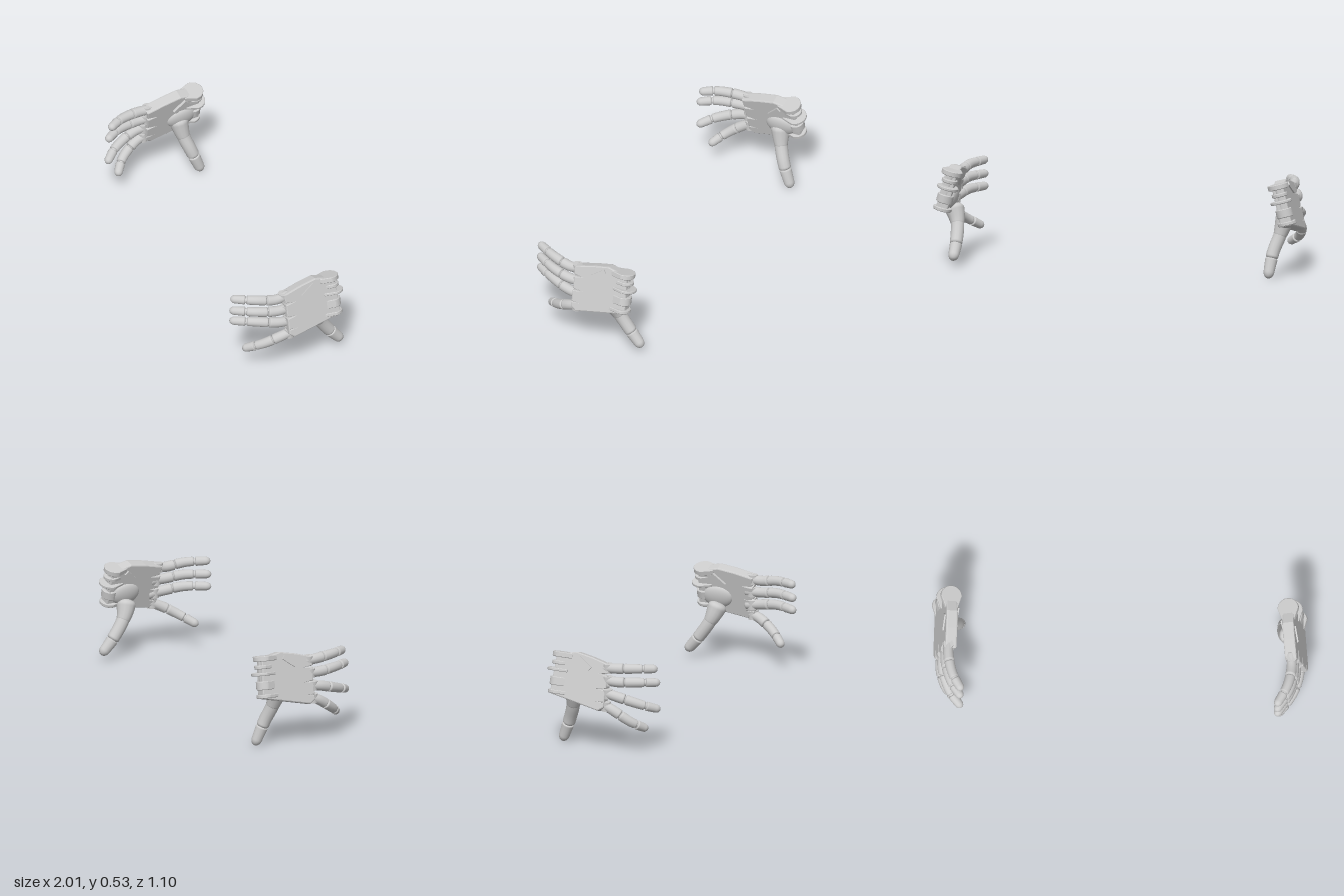
import * as THREE from 'three';
import { mergeVertices } from 'three/addons/utils/BufferGeometryUtils.js';

const mat = new THREE.MeshStandardMaterial({ color: 0xcccccc, roughness: 0.7 });

function add(parent, name, geo, x = 0, y = 0, z = 0) {
  const m = new THREE.Mesh(geo, mat);
  m.name = name;
  m.position.set(x, y, z);
  parent.add(m);
  return m;
}

// Rounded, tapering tube along the stretch t0..t1 of a curve
function limb(curve, t0, t1, r0, r1, capA, capB) {
  const pts = [];
  for (let i = 0; i <= 8; i++) pts.push(curve.getPointAt(t0 + (t1 - t0) * i / 8));
  const path = new THREE.CatmullRomCurve3(pts);
  const n = 32, sides = 14;
  const geo = new THREE.TubeGeometry(path, n, 1, sides);
  const p = geo.attributes.position, v = new THREE.Vector3();
  const cap = (d, e) => (d >= e ? 1 : Math.sqrt(Math.max(0, 1 - (1 - d / e) ** 2)));
  for (let i = 0; i <= n; i++) {
    const t = i / n, c = path.getPointAt(t);
    const r = (r0 + (r1 - r0) * t) * cap(t, capA) * cap(1 - t, capB);
    for (let j = 0; j <= sides; j++) {
      const k = i * (sides + 1) + j;
      v.fromBufferAttribute(p, k).sub(c).multiplyScalar(r).add(c);
      p.setXYZ(k, v.x, v.y, v.z);
    }
  }
  geo.deleteAttribute('uv');
  geo.deleteAttribute('normal');
  const smooth = mergeVertices(geo, 1e-5);
  smooth.computeVertexNormals();
  return smooth;
}

const curveOf = (pts, s) => new THREE.CatmullRomCurve3(
  pts.map(([x, y, z]) => new THREE.Vector3(x * s, y, z)));

// Finger: three shells with narrow gaps over a thinner core, and a root hinge
function finger(parent, name, pts, s) {
  const g = new THREE.Group();
  g.name = name;
  const c = curveOf(pts, s);
  add(g, 'fingerCore', limb(c, 0.02, 0.95, 0.022, 0.017, 0.05, 0.1));
  add(g, 'proximalSegment', limb(c, 0, 0.42, 0.026, 0.029, 0.08, 0.07));
  add(g, 'middleSegment', limb(c, 0.41, 0.74, 0.028, 0.025, 0.09, 0.06));
  add(g, 'fingertip', limb(c, 0.75, 1.03 > 1 ? 1 : 1.03, 0.026, 0.022, 0.08, 0.32));
  const h = c.getPointAt(0.12);
  add(g, 'rootHinge', new THREE.CylinderGeometry(0.027, 0.027, 0.05, 16), h.x, h.y, h.z);
  parent.add(g);
}

// Thumb: flared root, slim shaft, separate rounded tip
function thumb(parent, pts, s) {
  const g = new THREE.Group();
  g.name = 'thumb';
  const c = curveOf(pts, s);
  add(g, 'thumbRoot', limb(c, 0, 0.38, 0.06, 0.034, 0.3, 0.12));
  add(g, 'thumbShaft', limb(c, 0.2, 0.72, 0.037, 0.034, 0.1, 0.1));
  add(g, 'thumbTip', limb(c, 0.69, 1, 0.034, 0.027, 0.08, 0.3));
  parent.add(g);
}

// Notched palm plate outline: x runs to the fingers, y to the index side
const OUTLINE = [
  [-0.02, -0.115], [0.26, -0.168], [0.285, -0.15], [0.285, -0.13], [0.235, -0.125],
  [0.285, -0.12], [0.285, -0.065], [0.23, -0.055], [0.285, -0.045], [0.285, 0.015],
  [0.23, 0.025], [0.285, 0.035], [0.29, 0.075], [0.19, 0.1], [0.1, 0.116],
  [0.03, 0.1], [-0.01, 0.08]];

// Rounded wrist lug lying across the palm
function lug(radius, length, thick) {
  const sh = new THREE.Shape();
  sh.moveTo(length, -radius * 0.6);
  sh.lineTo(length, radius * 0.6);
  sh.lineTo(0, radius);
  sh.absarc(0, 0, radius, Math.PI / 2, Math.PI * 1.5, false);
  const geo = new THREE.ExtrudeGeometry(sh, {
    depth: thick, bevelSize: 0.003, bevelThickness: 0.003, bevelSegments: 1, curveSegments: 12 });
  geo.translate(0, 0, -thick / 2);
  geo.rotateX(-Math.PI / 2);
  geo.rotateY(-Math.PI / 2);
  return geo;
}

function palm(parent, pose, s) {
  const g = new THREE.Group();
  g.name = 'palm';
  g.position.set(pose.at[0] * s, pose.at[1], pose.at[2]);
  g.rotation.set(pose.pitch, pose.yaw * s, 0.26 * s, 'YXZ');

  const shape = new THREE.Shape(OUTLINE.map(([x, y]) => new THREE.Vector2(x, y)));
  const plate = new THREE.ExtrudeGeometry(shape, {
    depth: 0.046, bevelSize: 0.006, bevelThickness: 0.009, bevelSegments: 2 });
  plate.translate(0, 0, -0.023);
  plate.rotateY(-Math.PI / 2);
  add(g, 'palmPlate', plate);

  // Wrist lugs: height, radius, thickness, offset back
  for (const [v, r, t, z] of [
    [0.095, 0.054, 0.022, 0.012], [0.05, 0.04, 0.014, 0.0], [0.012, 0.056, 0.01, -0.004],
    [-0.05, 0.042, 0.04, 0.004], [-0.108, 0.048, 0.014, 0.008]])
    add(g, 'wristLug', lug(r, 0.06, t), 0, v, z);
  add(g, 'wristPin', new THREE.CylinderGeometry(0.018, 0.018, 0.2, 16), 0, -0.005, -0.005);

  // Raised diagonal bars on the back and on the palm side
  const back = add(g, 'backRib', new THREE.BoxGeometry(0.012, 0.024, 0.09), 0.034 * s, 0.068, 0.15);
  back.rotation.x = 0.6;
  const inner = add(g, 'palmRib', new THREE.BoxGeometry(0.024, 0.026, 0.09), -0.034 * s, 0.055, 0.1);
  inner.rotation.x = 0.75;

  // Swelling at the thumb base
  const pad = add(g, 'thumbPad', new THREE.SphereGeometry(1, 24, 16), -0.026 * s, -0.055, 0.085);
  pad.scale.set(0.03, 0.065, 0.085);
  parent.add(g);
}

const HANDS = [
  {
    name: 'leftHand', s: 1, at: [0.932, 0.41, 0.01], yaw: -0.2, pitch: 0,
    fingers: [
      [[0.865, 0.475, 0.25], [0.85, 0.464, 0.33], [0.805, 0.48, 0.43], [0.715, 0.488, 0.538]],
      [[0.88, 0.395, 0.24], [0.862, 0.395, 0.33], [0.815, 0.408, 0.43], [0.712, 0.412, 0.542]],
      [[0.895, 0.315, 0.24], [0.872, 0.325, 0.33], [0.815, 0.342, 0.43], [0.712, 0.344, 0.542]],
      [[0.92, 0.27, 0.25], [0.885, 0.237, 0.33], [0.83, 0.192, 0.4], [0.735, 0.135, 0.468]]],
    thumb: [[0.9, 0.32, 0.1], [0.878, 0.23, 0.06], [0.885, 0.125, -0.01], [0.905, 0.04, -0.08]],
  },
  {
    name: 'rightHand', s: -1, at: [0.862, 0.412, -0.49], yaw: 0.22, pitch: 0.05,
    fingers: [
      [[0.905, 0.457, -0.25], [0.928, 0.462, -0.17], [0.932, 0.467, -0.05], [0.905, 0.464, 0.055]],
      [[0.92, 0.395, -0.25], [0.945, 0.392, -0.16], [0.945, 0.395, -0.04], [0.91, 0.39, 0.07]],
      [[0.935, 0.332, -0.25], [0.963, 0.315, -0.16], [0.955, 0.275, -0.03], [0.91, 0.238, 0.07]],
      [[0.945, 0.272, -0.25], [0.968, 0.24, -0.18], [0.96, 0.175, -0.08], [0.905, 0.125, 0.0]]],
    thumb: [[0.89, 0.35, -0.4], [0.852, 0.23, -0.413], [0.815, 0.14, -0.437], [0.785, 0.005, -0.483]],
  }];

export function createModel() {
  const model = new THREE.Group();
  model.name = 'mechanicalHands';
  const names = ['indexFinger', 'middleFinger', 'ringFinger', 'littleFinger'];
  for (const h of HANDS) {
    const g = new THREE.Group();
    g.name = h.name;
    palm(g, h, h.s);
    h.fingers.forEach((pts, i) => finger(g, names[i], pts, h.s));
    thumb(g, h.thumb, h.s);
    model.add(g);
  }
  return model;
}
